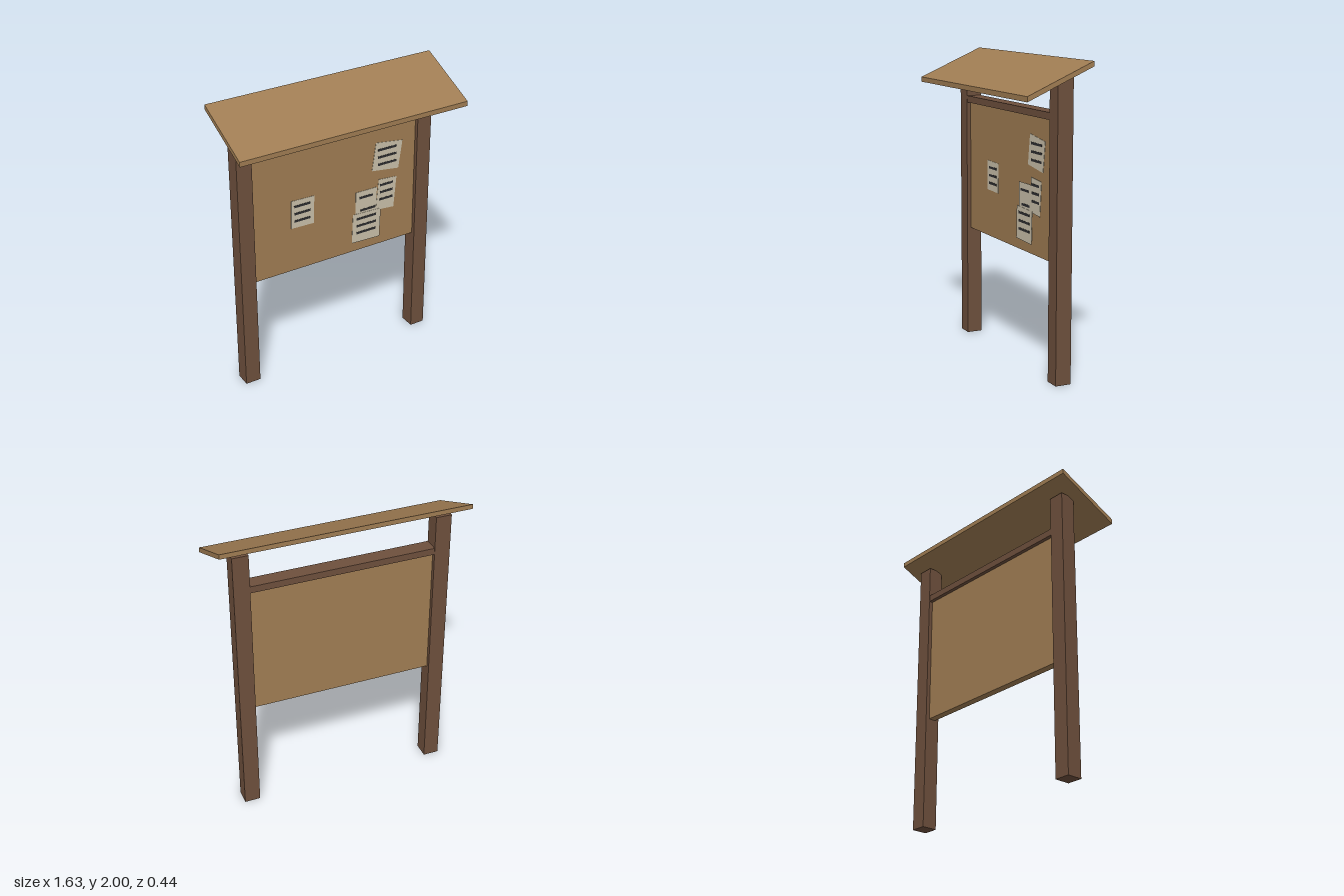
import * as THREE from 'three';

const flat = (name, color) => {
  const m = new THREE.MeshStandardMaterial({ color });
  m.name = name;
  return m;
};

export function createModel() {
  const group = new THREE.Group();
  const darkWood = flat('dark wood', 0x6e503d);
  const lightWood = flat('light wood', 0xa07d53);
  const paper = flat('paper', 0xcac1aa);
  const ink = flat('ink', 0x2e2e30);

  const add = (name, geometry, material, x, y, z, parent = group) => {
    const mesh = new THREE.Mesh(geometry, material);
    mesh.name = name;
    mesh.position.set(x, y, z);
    parent.add(mesh);
    return mesh;
  };
  const box = (w, h, d) => new THREE.BoxGeometry(w, h, d);

  // Posts, crossbeam and pin board
  const postZ = -0.085;
  for (const [side, s] of [['left', 1], ['right', -1]]) {
    add(side + 'Post', box(0.105, 1.905, 0.105), darkWood, s * 0.6625, 0.9525, postZ);
  }
  add('crossbeam', box(1.22, 0.045, 0.1), darkWood, 0, 1.6625, postZ);
  add('board', box(1.22, 0.885, 0.05), lightWood, 0, 1.2, postZ);

  // Sloping roof plank with upright cut edges
  const profile = new THREE.Shape([
    [-0.22, 1.775], [0.22, 1.968], [0.22, 2], [-0.22, 1.808],
  ].map(([x, y]) => new THREE.Vector2(x, y)));
  const roof = new THREE.ExtrudeGeometry(profile, { depth: 1.626, bevelEnabled: false });
  roof.rotateY(Math.PI / 2);
  add('roof', roof, lightWood, -0.813, 0, 0);

  // Pinned notices: centre, size, tilt in degrees, then lines as [x, y, width]
  const rows = (x, top, width) => [0, 1, 2].map(i => [x, top - i * 0.053, width]);
  const notices = [
    { x: -0.246, y: 1.172, w: 0.168, h: 0.2, tilt: -1.5, lines: rows(-0.249, 1.228, 0.117) },
    { x: 0.393, y: 1.411, w: 0.207, h: 0.2, tilt: -8, lines: rows(0.393, 1.466, 0.143) },
    { x: 0.233, y: 1.1, w: 0.163, h: 0.2, tilt: 0, lines: [[0.233, 1.153, 0.106], [0.249, 1.058, 0.117]] },
    { x: 0.388, y: 1.134, w: 0.14, h: 0.225, tilt: -5, lines: rows(0.388, 1.206, 0.1) },
    { x: 0.234, y: 0.93, w: 0.217, h: 0.215, tilt: -2, lines: rows(0.232, 1.0, 0.153) },
  ];
  const boardFront = postZ + 0.025;
  notices.forEach((n, i) => {
    const notice = new THREE.Group();
    notice.name = 'notice' + (i + 1);
    group.add(notice);
    const z = boardFront + 0.001 + i * 0.0015;
    const sheet = add('sheet', box(n.w, n.h, 0.002), paper, n.x, n.y, z, notice);
    sheet.rotation.z = THREE.MathUtils.degToRad(n.tilt);
    for (const [x, y, w] of n.lines) {
      add('writtenLine', box(w, 0.016, 0.002), ink, x, y, z + 0.0015, notice);
    }
  });

  return group;
}
